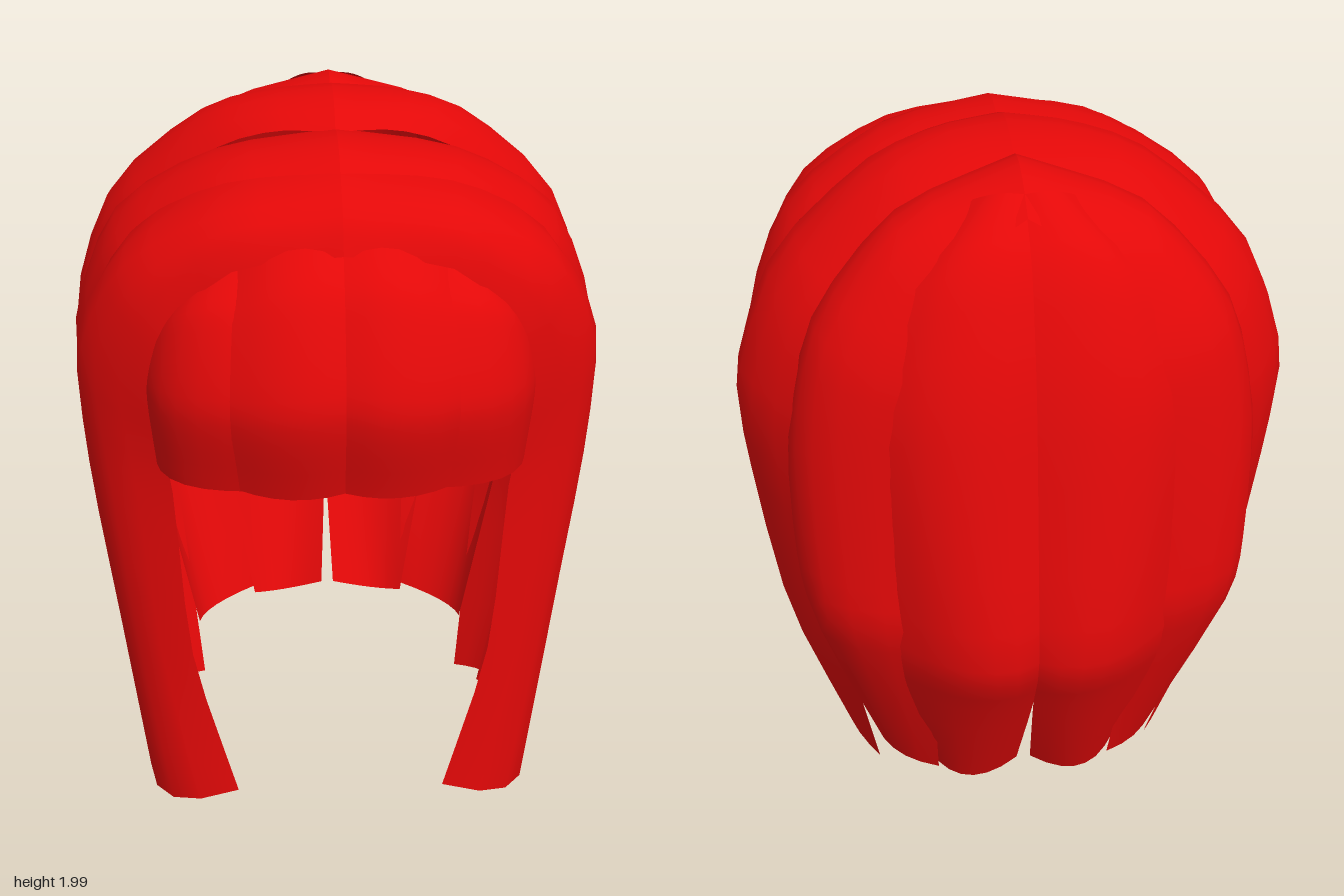
import * as THREE from 'three';

const ROWS = 18, COLS = 6;

// Lofts an arched lock of hair. Each row is [edge, middle, edge]; side = -1 mirrors it in x.
function lockGeometry(rows, side) {
  const rails = [0, 1, 2].map(k => new THREE.CatmullRomCurve3(
    rows.map(r => new THREE.Vector3(...r[k])), false, 'catmullrom', 0.4));
  const pos = [], idx = [];
  for (let i = 0; i <= ROWS; i++) {
    const [a, m, b] = rails.map(c => c.getPoint(i / ROWS));
    for (let j = 0; j <= COLS; j++) {
      const t = j / COLS;
      // parabola through the three rail points
      const p = a.clone().multiplyScalar((1 - t) * (1 - 2 * t))
        .addScaledVector(m, 4 * t * (1 - t))
        .addScaledVector(b, t * (2 * t - 1));
      pos.push(p.x * side, p.y, p.z);
    }
  }
  const w = COLS + 1;
  for (let i = 0; i < ROWS; i++) for (let j = 0; j < COLS; j++) {
    const a = i * w + j, b = a + w, c = a + 1, d = b + 1;
    if (side > 0) idx.push(a, b, c, c, b, d);
    else idx.push(a, c, b, c, d, b);
  }
  const g = new THREE.BufferGeometry();
  g.setAttribute('position', new THREE.Float32BufferAttribute(pos, 3));
  g.setIndex(idx);
  g.computeVertexNormals();
  return g;
}

// Every lock runs from the parting (first row) to its tip (last row)
const LOCKS = {
  // bands draped over the head, front to back; rear edges tuck under the next band
  frontBand: [
    [[0, 1.75, 0.60], [0, 1.86, 0.51], [0, 1.915, 0.32]],
    [[0.26, 1.71, 0.58], [0.28, 1.825, 0.50], [0.28, 1.86, 0.29]],
    [[0.42, 1.55, 0.56], [0.52, 1.69, 0.46], [0.49, 1.73, 0.24]],
    [[0.46, 1.35, 0.54], [0.65, 1.45, 0.40], [0.62, 1.46, 0.19]],
    [[0.43, 1.10, 0.52], [0.64, 1.10, 0.40], [0.63, 1.10, 0.18]],
    [[0.40, 0.60, 0.52], [0.59, 0.60, 0.41], [0.59, 0.60, 0.10]],
    [[0.29, 0.14, 0.53], [0.53, 0.09, 0.44], [0.52, 0.11, 0.04]],
  ],
  middleBand: [
    [[0, 1.89, 0.43], [0, 1.945, 0.26], [0, 1.90, 0.02]],
    [[0.28, 1.84, 0.39], [0.31, 1.89, 0.21], [0.30, 1.83, -0.05]],
    [[0.54, 1.67, 0.31], [0.57, 1.73, 0.12], [0.51, 1.66, -0.12]],
    [[0.63, 1.45, 0.25], [0.70, 1.42, 0.06], [0.60, 1.42, -0.18]],
    [[0.60, 1.10, 0.24], [0.69, 1.10, 0.06], [0.61, 1.10, -0.16]],
    [[0.55, 0.60, 0.26], [0.62, 0.60, 0.08], [0.57, 0.60, -0.10]],
    [[0.48, 0.12, 0.26], [0.53, 0.11, 0.10], [0.47, 0.07, -0.06]],
  ],
  crownBand: [
    [[0, 1.93, 0.16], [0, 2.0, -0.04], [0, 1.93, -0.30]],
    [[0.16, 1.92, 0.11], [0.18, 1.98, -0.07], [0.16, 1.91, -0.33]],
    [[0.32, 1.86, 0.06], [0.36, 1.92, -0.12], [0.29, 1.84, -0.37]],
    [[0.56, 1.68, 0], [0.60, 1.71, -0.20], [0.48, 1.64, -0.43]],
    [[0.66, 1.43, -0.06], [0.715, 1.41, -0.23], [0.54, 1.40, -0.48]],
    [[0.66, 1.10, 0], [0.715, 1.13, -0.20], [0.54, 1.08, -0.48]],
    [[0.61, 0.60, 0], [0.65, 0.60, -0.18], [0.49, 0.60, -0.42]],
    [[0.52, 0.10, 0], [0.50, 0.06, -0.12], [0.42, 0.01, -0.23]],
  ],
  backSideLock: [
    [[0, 1.96, -0.18], [0, 1.99, -0.30], [0, 1.92, -0.46]],
    [[0.28, 1.88, -0.25], [0.30, 1.88, -0.40], [0.20, 1.80, -0.52]],
    [[0.50, 1.66, -0.33], [0.48, 1.64, -0.49], [0.28, 1.57, -0.60]],
    [[0.59, 1.35, -0.36], [0.535, 1.35, -0.53], [0.28, 1.35, -0.63]],
    [[0.60, 1.00, -0.37], [0.535, 1.00, -0.57], [0.28, 1.00, -0.65]],
    [[0.56, 0.76, -0.36], [0.515, 0.78, -0.56], [0.27, 0.79, -0.65]],
    [[0.43, 0.20, -0.24], [0.38, 0.18, -0.37], [0.25, 0.19, -0.47]],
  ],
  backCentreLock: [
    [[0.12, 1.94, -0.38], [0.06, 1.96, -0.40], [0, 1.955, -0.40]],
    [[0.27, 1.78, -0.51], [0.15, 1.83, -0.54], [0, 1.82, -0.54]],
    [[0.36, 1.50, -0.58], [0.20, 1.55, -0.65], [0, 1.55, -0.64]],
    [[0.37, 1.20, -0.61], [0.20, 1.20, -0.715], [0, 1.20, -0.70]],
    [[0.35, 0.82, -0.64], [0.17, 0.82, -0.765], [0, 0.82, -0.75]],
    [[0.33, 0.60, -0.58], [0.16, 0.60, -0.68], [0, 0.60, -0.66]],
    [[0.25, 0.18, -0.44], [0.15, 0.16, -0.49], [0.02, 0.20, -0.47]],
  ],
  // short under layer at the nape
  innerCentreLock: [
    [[0.12, 1.55, -0.58], [0.06, 1.55, -0.60], [0, 1.55, -0.60]],
    [[0.12, 1.15, -0.63], [0.06, 1.15, -0.65], [0, 1.15, -0.65]],
    [[0.12, 0.84, -0.63], [0.06, 0.82, -0.66], [0, 0.81, -0.65]],
  ],
  innerSideLock: [
    [[0.32, 1.50, -0.54], [0.22, 1.50, -0.57], [0.14, 1.50, -0.58]],
    [[0.36, 1.15, -0.56], [0.30, 1.15, -0.59], [0.23, 1.15, -0.61]],
    [[0.40, 0.83, -0.56], [0.29, 0.84, -0.60], [0.17, 0.86, -0.62]],
  ],
  // fringe
  fringeCentre: [
    [[0, 1.78, 0.56], [0.13, 1.78, 0.56], [0.25, 1.72, 0.54]],
    [[0, 1.66, 0.67], [0.13, 1.66, 0.68], [0.26, 1.61, 0.65]],
    [[0, 1.43, 0.755], [0.13, 1.42, 0.77], [0.27, 1.41, 0.72]],
    [[0, 1.19, 0.71], [0.13, 1.18, 0.72], [0.26, 1.19, 0.68]],
  ],
  fringeSide: [
    [[0.18, 1.73, 0.54], [0.32, 1.69, 0.54], [0.40, 1.60, 0.49]],
    [[0.20, 1.62, 0.65], [0.37, 1.60, 0.61], [0.46, 1.52, 0.50]],
    [[0.21, 1.41, 0.73], [0.40, 1.40, 0.66], [0.485, 1.39, 0.51]],
    [[0.21, 1.19, 0.69], [0.39, 1.18, 0.63], [0.47, 1.18, 0.50]],
  ],
};

export function createModel() {
  const model = new THREE.Group();
  model.name = 'wig';
  const red = new THREE.MeshStandardMaterial({ color: 0xe30808, side: THREE.DoubleSide });
  red.name = 'red hair';
  for (const [name, rows] of Object.entries(LOCKS)) {
    const pair = new THREE.Group();
    pair.name = name;
    for (const side of [1, -1]) {
      const mesh = new THREE.Mesh(lockGeometry(rows, side), red);
      mesh.name = name + (side > 0 ? 'Left' : 'Right');
      pair.add(mesh);
    }
    model.add(pair);
  }
  return model;
}
